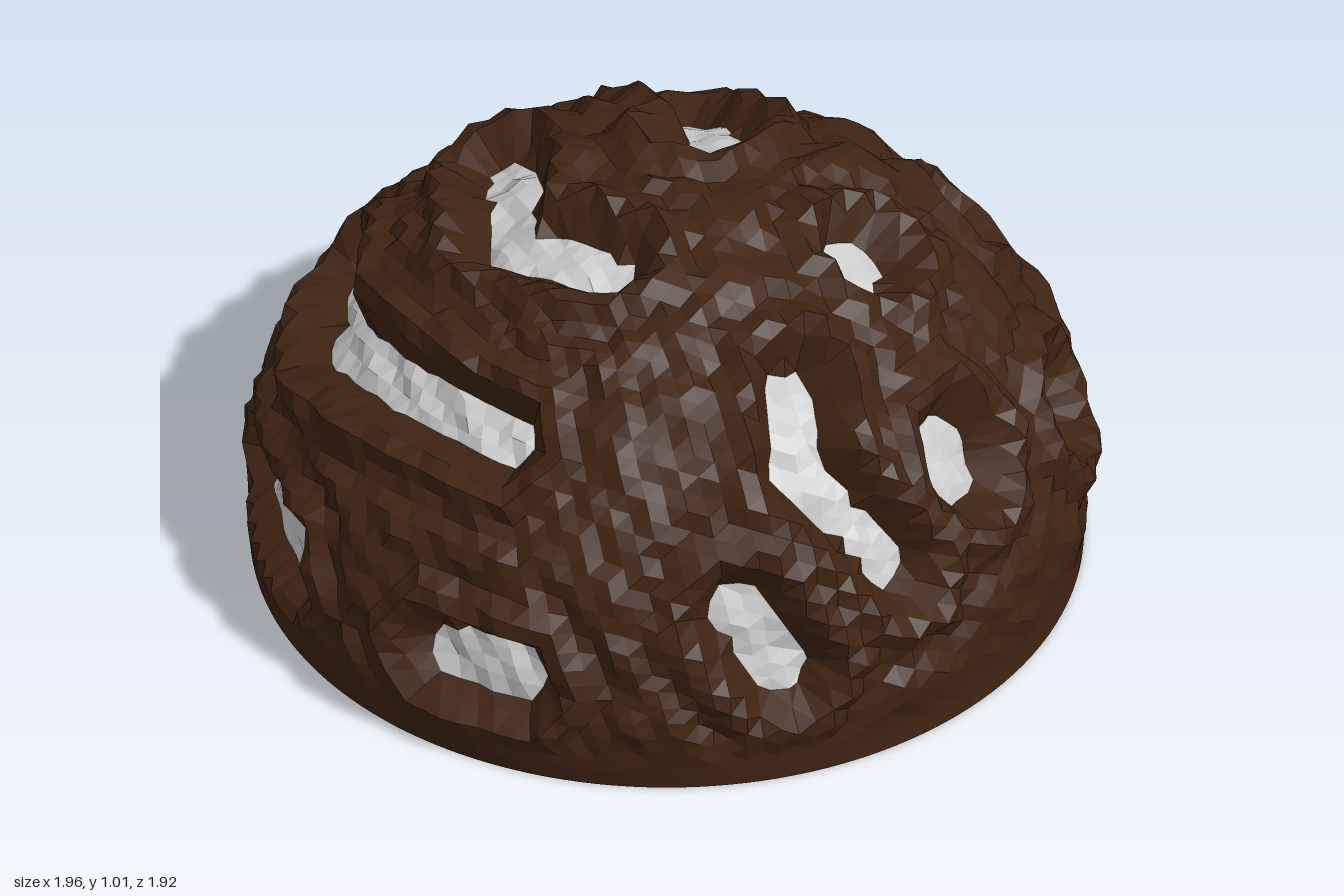
import * as THREE from 'three';

const CENTRE = new THREE.Vector3(0, 0.12, 0);
const RADII = new THREE.Vector3(0.955, 0.865, 0.94);
const FLOOR = 0.01;

// Pits: floor half-width, then the path the pit follows over the dome
const PITS = [
  [0.062, [-0.2, 0.78, 0.5], [-0.32, 0.66, 0.6], [-0.23, 0.42, 0.8]],
  [0.09, [0.05, 0.57, 0.77], [0.05, 0.53, 0.79]],
  [0.085, [0.2, 0.82, 0.38]],
  [0.075, [-0.6, 0.43, 0.65], [-0.55, 0.28, 0.73]],
  [0.08, [0.48, 0.4, 0.72], [0.56, 0.35, 0.68]],
  [0.085, [0.85, 0.27, 0.37], [0.9, 0.27, 0.25]],
  [0.095, [0.83, 0.42, -0.13], [0.83, 0.36, -0.22]],
  [0.07, [0.5, 0.3, -0.76], [0.17, 0.27, -0.9]],
  [0.068, [0.24, 0.93, -0.1], [0.4, 0.86, -0.13], [0.53, 0.74, -0.35]],
  [0.065, [0.59, 0.6, 0.29]],
  [0.068, [-0.24, 0.94, 0], [-0.26, 0.9, -0.28], [-0.1, 0.9, -0.38], [0.05, 0.82, -0.5]],
  [0.062, [-0.66, 0.7, 0.03], [-0.62, 0.68, -0.3], [-0.48, 0.6, -0.6], [-0.25, 0.62, -0.72]],
  [0.08, [-0.93, 0.25, 0.22], [-0.95, 0.25, 0.06]],
  [0.085, [-0.82, 0.23, -0.48], [-0.57, 0.23, -0.76]],
];

// Height of the crust against distance from the edge of a pit floor
const PROFILE = [[-1, -0.085], [0, -0.075], [0.035, -0.015], [0.06, 0.03], [0.095, 0.032],
  [0.125, 0.002], [0.16, -0.008], [0.19, 0.014], [0.24, 0.018], [0.3, 0.005], [9, 0.005]];

function profileHeight(d) {
  const i = Math.max(1, PROFILE.findIndex(([x]) => x >= d));
  const [x0, y0] = PROFILE[i - 1], [x1, y1] = PROFILE[i];
  return THREE.MathUtils.mapLinear(d, x0, x1, y0, y1);
}

// Push a point out from the centre onto the plain dome
function ontoDome(p) {
  return p.sub(CENTRE).divide(RADII).normalize().multiply(RADII).add(CENTRE);
}

// Sample every pit path closely, with a tangent frame at each sample
const samples = [];
for (const [radius, ...path] of PITS) {
  const points = path.map(a => ontoDome(new THREE.Vector3(...a)));
  const steps = points.length > 1 ? 10 : 0;
  for (let s = 0; s < Math.max(1, points.length - 1); s++) {
    for (let i = 0; i <= steps; i++) {
      const p = ontoDome(points[s].clone().lerp(points[Math.min(s + 1, points.length - 1)], steps ? i / steps : 0));
      const n = p.clone().sub(CENTRE).normalize();
      const u = new THREE.Vector3(0, 1, 0).cross(n).normalize();
      samples.push({ p, radius, u, v: n.cross(u) });
    }
  }
}

// Nearest pit, measured with six-sided contours
function nearestPit(p) {
  let best = null, edge = Infinity;
  for (const s of samples) {
    const e = s.p.distanceTo(p) - s.radius;
    if (e < edge) { edge = e; best = s; }
  }
  const off = p.clone().sub(best.p);
  const sector = Math.PI / 3;
  const a = Math.atan2(off.dot(best.v), off.dot(best.u)) + Math.PI * 2;
  const d = off.length() * Math.cos((a % sector) - sector / 2) * 1.06;
  return { pit: best, d };
}

function lumps(p) {
  return 0.009 * Math.sin(p.x * 17 + 3 * p.y) * Math.sin(p.z * 15 + 1) +
    0.008 * Math.sin(p.y * 31 + p.x * 9) * Math.sin(p.z * 27 - p.x * 13) +
    0.006 * Math.sin(p.x * 47 + p.z * 39 + p.y * 43);
}

// Final position of a dome vertex, and whether it belongs to a pit floor
function sculpt(p) {
  ontoDome(p);
  // Flat underside with a round, upright edge
  if (p.y < 0.05) {
    if (p.y > -0.03) {
      const k = 0.94 / Math.hypot(p.x, p.z);
      p.x *= k;
      p.z *= k;
    }
    p.y = FLOOR;
    return false;
  }
  let { pit, d } = nearestPit(p);
  // Pull vertices beside the pit edge onto it for a clean border
  if (Math.abs(d - pit.radius) < 0.02) {
    p.sub(pit.p).multiplyScalar(pit.radius / d).add(pit.p);
    ontoDome(p);
    d = pit.radius;
  }
  const fade = THREE.MathUtils.smoothstep(p.y, 0.06, 0.18);
  const h = (profileHeight(d - pit.radius) + lumps(p)) * fade;
  const out = p.clone().sub(CENTRE).normalize();
  p.addScaledVector(out, h);
  return d <= pit.radius + 1e-6;
}

function makeMesh(name, positions, color) {
  const geometry = new THREE.BufferGeometry();
  geometry.setAttribute('position', new THREE.Float32BufferAttribute(positions, 3));
  geometry.computeVertexNormals();
  const mesh = new THREE.Mesh(geometry, new THREE.MeshStandardMaterial({ color, flatShading: true }));
  mesh.name = name;
  return mesh;
}

export function createModel() {
  const group = new THREE.Group();
  group.name = 'pittedDome';
  const source = new THREE.IcosahedronGeometry(1, 24).getAttribute('position');
  const crust = [], floors = [];

  // Sort each sculpted triangle into the brown crust or the pale pit floors
  for (let i = 0; i < source.count; i += 3) {
    const corners = [0, 1, 2].map(k => new THREE.Vector3().fromBufferAttribute(source, i + k).multiply(RADII).add(CENTRE));
    const inside = corners.map(sculpt);
    const target = inside.every(Boolean) ? floors : crust;
    for (const c of corners) target.push(c.x, c.y, c.z);
  }
  group.add(makeMesh('crust', crust, 0x3f2413));
  group.add(makeMesh('pitFloors', floors, 0xcccccc));
  return group;
}
